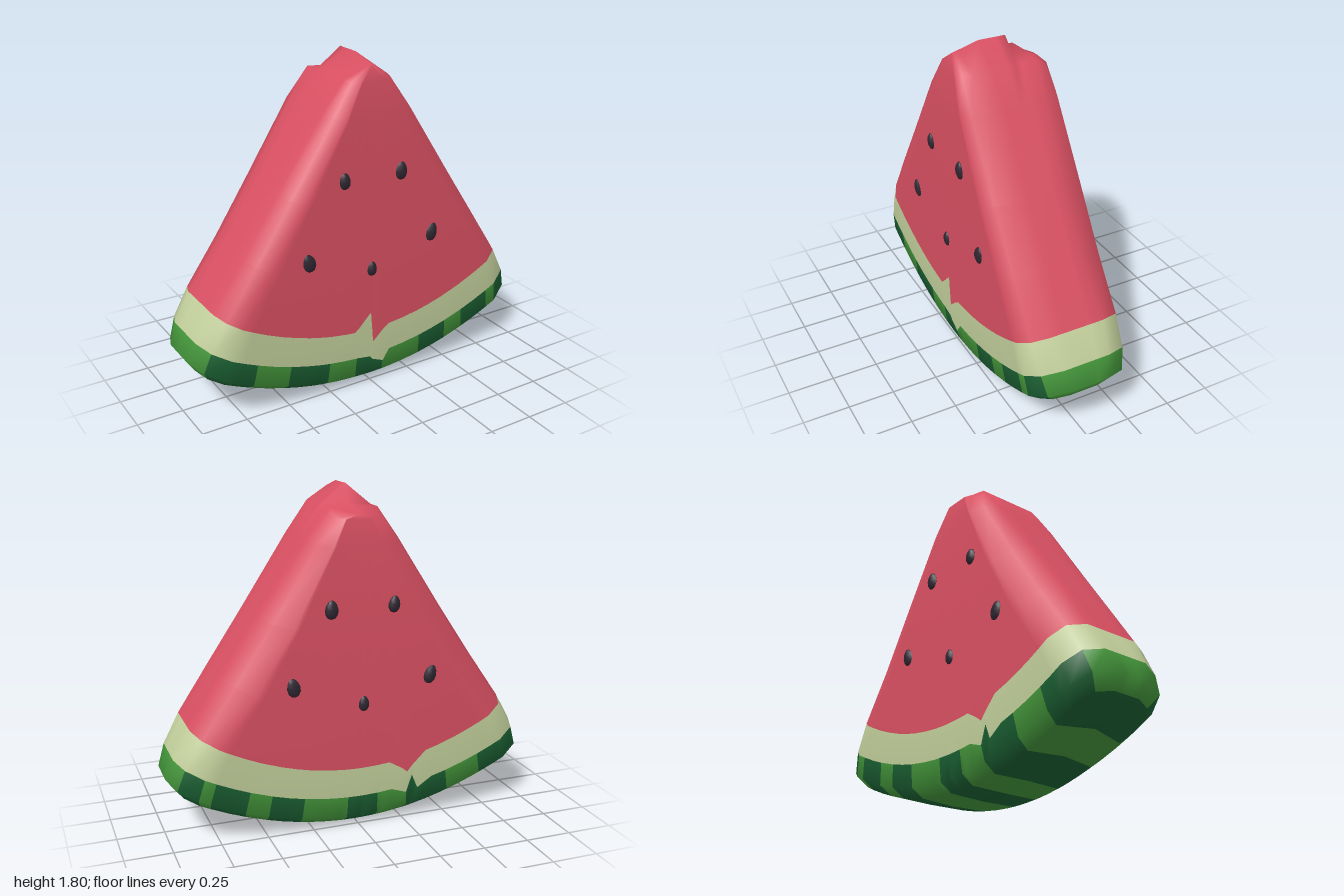
import * as THREE from 'three';
import { mergeVertices } from 'three/addons/utils/BufferGeometryUtils.js';

const mat = (name, color) => {
  const m = new THREE.MeshStandardMaterial({ color });
  m.name = name;
  return m;
};

// Rings from the tip down: half width, edge height, centre height, half depth,
// corner radius at the front and at the back
const RINGS = [
  { w: 0, e: 1.8, c: 1.8, d: 0.245, r: [0.03, 0.03] },
  { w: 0.13, e: 1.69, c: 1.68, d: 0.262, r: [0.07, 0.09] },
  { w: 0.25, e: 1.53, c: 1.5, d: 0.283, r: [0.1, 0.13] },
  { w: 0.5, e: 1.155, c: 1.07, d: 0.289, r: [0.12, 0.17] },
  { w: 0.7, e: 0.855, c: 0.68, d: 0.289, r: [0.12, 0.17] },
  { w: 0.87, e: 0.6, c: 0.33, d: 0.284, r: [0.12, 0.14], notch: 'flesh' },
  { w: 0.96, e: 0.45, c: 0.17, d: 0.28, r: [0.15, 0.15], notch: 'rind' },
  { w: 1.0, e: 0.34, c: 0.05, d: 0.265, r: [0.17, 0.16] },
  { w: 0.95, e: 0.265, c: 0.005, d: 0.2, r: [0.12, 0.12] },
  { w: 0.9, e: 0.235, c: 0, d: 0, r: [0, 0] },
];
const FLESH_END = 5, PALE_END = 6;

// Columns across each face, and the ragged bite in the colour borders
const COLUMNS = [-1, -0.92, -0.83, -0.72, -0.6, -0.5, -0.4, -0.36, -0.32, -0.22, -0.15, -0.12, -0.02, 0,
  0.08, 0.13, 0.24, 0.37, 0.47, 0.58, 0.72, 0.82, 0.93, 1];
const NOTCH = {
  flesh: {
    front: { '-0.12': 0.02, '-0.02': 0.1, '0': -0.08, '0.08': -0.025 },
    back: { '-0.4': -0.055, '-0.36': -0.085, '-0.32': -0.055 },
  },
  rind: {
    front: { '-0.02': -0.01, '0': -0.03, '0.08': -0.06 },
    back: { '-0.4': -0.035, '-0.36': 0.05, '-0.32': -0.04 },
  },
};
const WALL = [1, 0.45, 0, -0.25, -0.45, -1];
const DARK = [[-1, -0.83], [-0.6, -0.32], [-0.12, 0.08], [0.37, 0.58], [0.72, 0.93]];

// Perimeter stations shared by all rings, anticlockwise from above
function stations() {
  const face = (kind, t, columns) => columns.map(u => ({ kind, u, t }));
  const wall = (u, depths) => depths.map(t => ({ kind: 'wall', u, t }));
  const corner = (u, t) => ({ kind: 'corner', u, t });
  return [
    ...face('front', 1, COLUMNS), corner(1, 1),
    ...wall(1, WALL), corner(1, -1),
    ...face('back', -1, [...COLUMNS].reverse()), corner(-1, -1),
    ...wall(-1, [...WALL].reverse()), corner(-1, 1),
  ];
}

// How far a station is pulled in by the corner rounding, across and in depth
const INSET = { front: [1, 0], back: [1, 0], corner: [0.3, 0.3], wall: [0, 1] };

function ringPoint(ring, s, level) {
  const { w, e, c, d } = ring;
  const r = ring.r[s.t > 0 ? 0 : 1];
  const [ix, iz] = INSET[s.kind];
  const x = s.u * (w - ix * Math.min(r * 0.85, w * 0.45));
  let z = s.t * (d - iz * r);
  const k = w > 0 ? x / w : 0;
  let y = c + (e - c) * k * k;
  if (ring.notch && NOTCH[ring.notch][s.kind]) y += NOTCH[ring.notch][s.kind][String(s.u)] || 0;
  // The tip slopes at the front and is broken off at the back
  if (level === 0) {
    if (z > 0.1) y -= 0.28 * (z - 0.1);
    if (z < -0.07) y -= 0.1 + 0.25 * (-z - 0.09);
  }
  if (level === 1 && z < -0.2) y -= 0.04;
  if (level < 3 && z < 0) z *= 0.95;
  return [x, y, z];
}

// Material slot: 0 flesh, 1 pale rind, 2 light green, 3 dark green
function slot(level, a, b) {
  if (level < FLESH_END) return 0;
  if (level < PALE_END) return 1;
  if (a.kind === 'wall' || b.kind === 'wall') return level < RINGS.length - 2 ? 2 : 3;
  if (a.kind !== b.kind) return 3;
  const u = (a.u + b.u) / 2;
  return DARK.some(([lo, hi]) => u > lo && u < hi) ? 3 : 2;
}

function sliceGeometry() {
  const st = stations(), n = st.length;
  const pos = [], faces = [[], [], [], []];
  RINGS.forEach((ring, i) => st.forEach(s => pos.push(...ringPoint(ring, s, i))));
  for (let i = 0; i < RINGS.length - 1; i++) {
    for (let k = 0; k < n; k++) {
      const k2 = (k + 1) % n;
      const a = i * n + k, b = i * n + k2, c = a + n, d = b + n;
      faces[slot(i, st[k], st[k2])].push(a, c, b, b, c, d);
    }
  }
  let geo = new THREE.BufferGeometry();
  geo.setAttribute('position', new THREE.Float32BufferAttribute(pos, 3));
  geo.setIndex(faces.flat());
  geo = mergeVertices(geo, 1e-4);
  let start = 0;
  faces.forEach((f, i) => {
    geo.addGroup(start, f.length, i);
    start += f.length;
  });
  geo.computeVertexNormals();
  return geo;
}

// Teardrop seed: a small sphere narrowed toward the top
function seedGeometry() {
  const geo = new THREE.SphereGeometry(1, 8, 6);
  const p = geo.attributes.position;
  for (let i = 0; i < p.count; i++) {
    const taper = 1 - 0.15 * p.getY(i);
    p.setXYZ(i, p.getX(i) * 0.036 * taper, p.getY(i) * 0.05, p.getZ(i) * 0.02);
  }
  geo.computeVertexNormals();
  return geo;
}

export function createModel() {
  const model = new THREE.Group();
  model.name = 'watermelonSlice';

  const slice = new THREE.Mesh(sliceGeometry(), [
    mat('fleshRed', 0xd95062),
    mat('paleRind', 0xc3d09c),
    mat('lightGreen', 0x44963b),
    mat('darkGreen', 0x1b6033),
  ]);
  slice.name = 'fleshAndRind';
  model.add(slice);

  // Seeds on both faces: x, y, tilt, scale
  const seedMat = mat('seedBlack', 0x2f2732);
  const seedGeo = seedGeometry();
  const seeds = [[-0.18, 1.205, 0.1, 0.9], [0.16, 1.2, 0, 1], [-0.39, 0.81, 0.3, 1.05],
    [0.365, 0.815, -0.2, 1.05], [-0.015, 0.69, 0, 0.85]];
  for (const side of [1, -1]) {
    for (const [x, y, tilt, size] of seeds) {
      const seed = new THREE.Mesh(seedGeo, seedMat);
      seed.name = side > 0 ? 'frontSeed' : 'backSeed';
      seed.position.set(x, y, side * 0.286);
      seed.rotation.z = tilt;
      seed.scale.set(size, size, 1);
      model.add(seed);
    }
  }
  return model;
}
